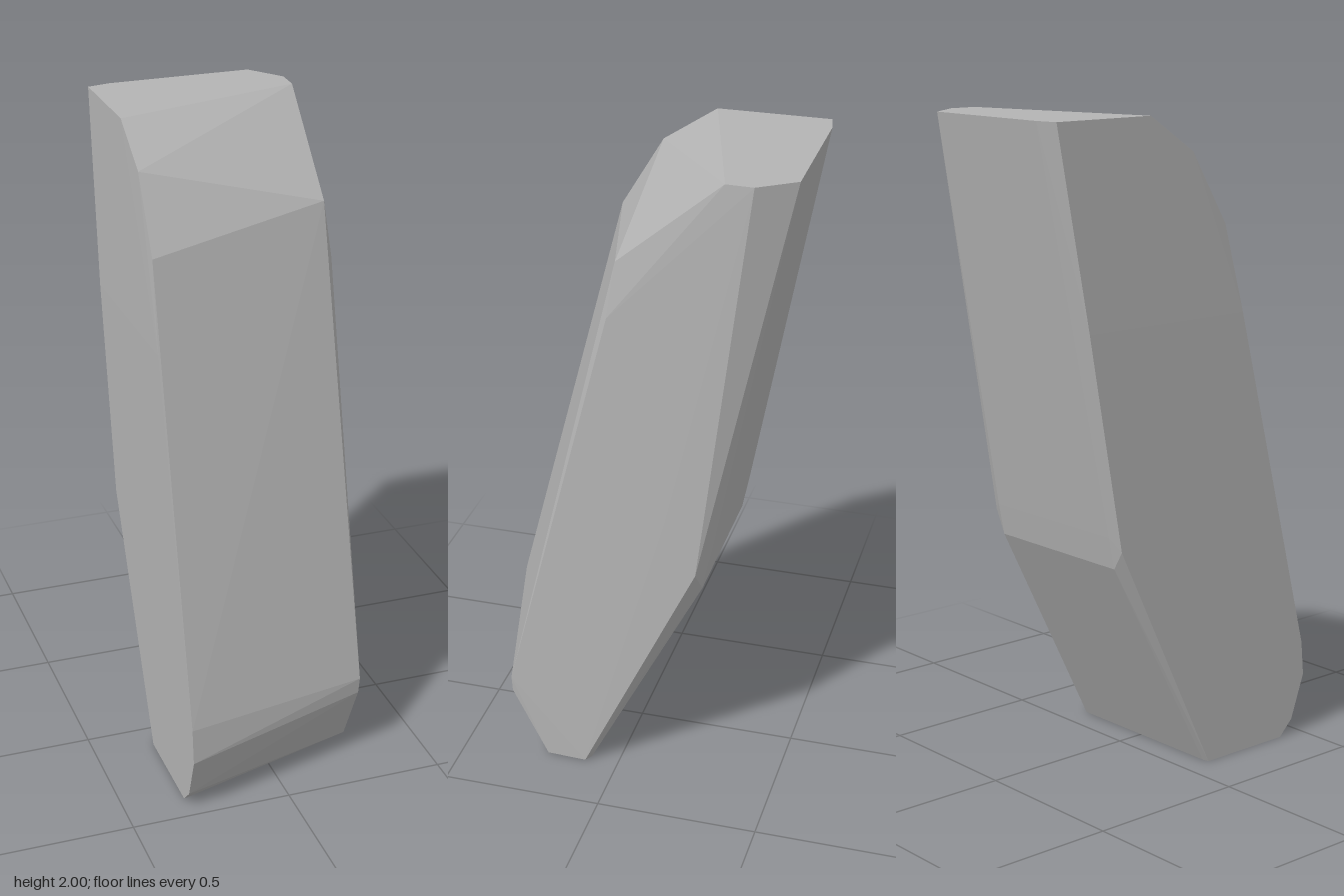
import * as THREE from 'three';
import { ConvexGeometry } from 'three/addons/geometries/ConvexGeometry.js';

export function createModel() {
  const group = new THREE.Group();
  group.name = 'leaningRock';
  const stone = new THREE.MeshStandardMaterial({ color: 0xb4b4b4 });
  stone.name = 'grey stone';

  // Corners of the broad side, up the front edge and down the back
  const broadSide = [
    [-0.31, 0, 0.41], [-0.31, 0.05, 0.46], [-0.31, 0.19, 0.51], [-0.31, 0.3, 0.5],
    [-0.31, 1.4, 0.219], [-0.302, 1.67, 0.15], [-0.3, 1.89, 0.02], [-0.3, 2, -0.145],
    [-0.3, 2, -0.49], [-0.31, 1.4, -0.382], [-0.31, 0.74, -0.262], [-0.31, 0, 0.095],
  ];
  // Corners of the narrow side
  const narrowSide = [
    [0.29, 0, 0.23], [0.288, 0.22, 0.345], [0.292, 0.27, 0.347], [0.298, 1.56, 0.022],
    [0.28, 1.73, 0], [0.295, 2, -0.317], [0.298, 2, -0.4],
    [0.305, 0.9, -0.15], [0.3, 0.75, -0.25], [0.295, 0, 0.105],
  ];
  // Chipped top edge and the bent back
  const topAndBack = [
    [0.215, 2, -0.31], [0.22, 2, -0.51], [-0.23, 2, -0.505],
    [0.25, 0.78, -0.28], [0.25, 0.68, -0.26], [-0.27, 0.78, -0.277], [-0.27, 0.68, -0.257],
    [0.27, 0, 0.09], [-0.29, 0, 0.09],
  ];

  const corners = [...broadSide, ...narrowSide, ...topAndBack].map((p) => new THREE.Vector3(...p));
  const rock = new THREE.Mesh(new ConvexGeometry(corners), stone);
  rock.name = 'rock';
  group.add(rock);
  return group;
}
